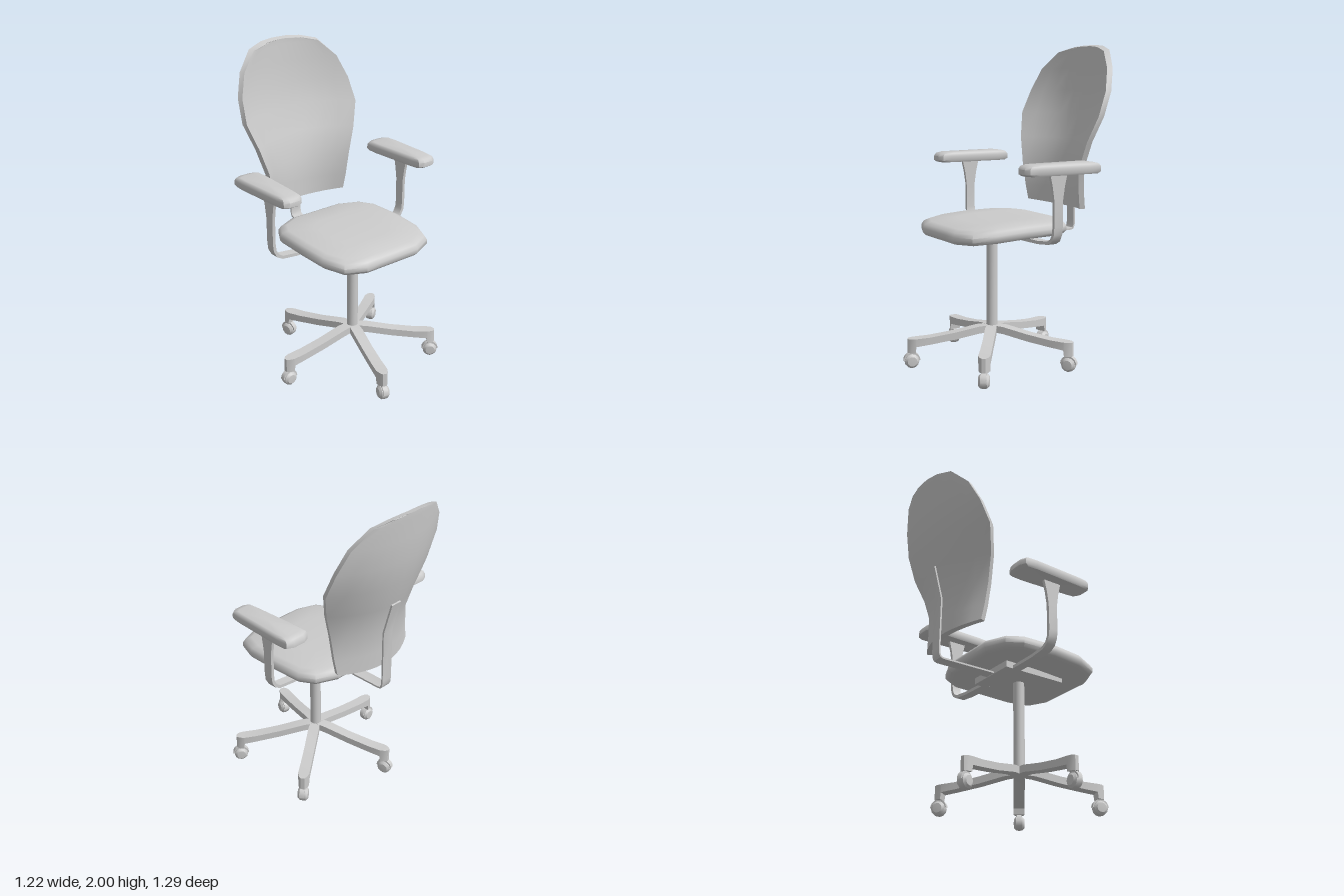
import * as THREE from 'three';
import { toCreasedNormals } from 'three/addons/utils/BufferGeometryUtils.js';

const material = new THREE.MeshStandardMaterial({ color: 0xcccccc });
const V = (x, y, z) => new THREE.Vector3(x, y, z);

function part(name, geometry, parent, crease = 0.65) {
  const mesh = new THREE.Mesh(toCreasedNormals(geometry, crease), material);
  mesh.name = name;
  parent.add(mesh);
  return mesh;
}

// Skin a stack of equal-length rings and close both ends
function loft(rings) {
  const n = rings[0].length, pos = [], idx = [];
  rings.forEach(r => r.forEach(p => pos.push(p.x, p.y, p.z)));
  for (let i = 0; i < rings.length - 1; i++) {
    for (let j = 0; j < n; j++) {
      const a = i * n + j, b = i * n + (j + 1) % n;
      idx.push(a, b, b + n, a, b + n, a + n);
    }
  }
  for (const last of [false, true]) {
    const ring = last ? rings[rings.length - 1] : rings[0];
    const c = ring.reduce((s, p) => s.add(p), V(0, 0, 0)).divideScalar(n);
    const ci = pos.length / 3, base = last ? (rings.length - 1) * n : 0;
    pos.push(c.x, c.y, c.z);
    for (let j = 0; j < n; j++) {
      const a = base + j, b = base + (j + 1) % n;
      last ? idx.push(ci, a, b) : idx.push(ci, b, a);
    }
  }
  const g = new THREE.BufferGeometry();
  g.setAttribute('position', new THREE.Float32BufferAttribute(pos, 3));
  g.setIndex(idx);
  return g;
}

// Flat bar along a path; widths are half-widths along the given axis
function strap(points, widths, axis, thickness) {
  return loft(points.map((p, i) => {
    const before = points[Math.max(i - 1, 0)], after = points[Math.min(i + 1, points.length - 1)];
    const normal = after.clone().sub(before).normalize().cross(axis);
    return [[1, 1], [-1, 1], [-1, -1], [1, -1]].map(([u, v]) => p.clone()
      .addScaledVector(axis, u * widths[i]).addScaledVector(normal, v * thickness / 2));
  }));
}

// Cushion from a mirrored half outline [x, z] and layers [scale, y]
function cushion(half, layers, cx, cz, drop = () => 0) {
  const outline = [...half, ...half.map(([x, z]) => [-x, z]).reverse()];
  return loft(layers.map(([s, y]) => outline.map(([x, z]) => {
    const zz = cz + (z - cz) * s;
    return V(cx + x * s, y - drop(zz), zz);
  })));
}

function makeBackrest() {
  // Rows: height, half-width, centre z of the rear face, curvature
  const rows = [
    [0.97, 0.305, -0.475, 1.0], [1.08, 0.315, -0.48, 1.15], [1.23, 0.33, -0.487, 1.25],
    [1.40, 0.385, -0.54, 1.15], [1.56, 0.44, -0.587, 0.88], [1.71, 0.425, -0.617, 0.76],
    [1.85, 0.37, -0.63, 0.72], [1.965, 0.26, -0.638, 0.72], [1.992, 0.15, -0.64, 0.72],
    [2.0, 0.06, -0.64, 0.72],
  ];
  const g = new THREE.BoxGeometry(2, 1, 1, 10, rows.length - 1, 1);
  const p = g.attributes.position;
  for (let i = 0; i < p.count; i++) {
    const row = Math.round((p.getY(i) + 0.5) * (rows.length - 1));
    const [y, w, zc, k] = rows[row];
    const t = p.getX(i), front = p.getZ(i) > 0;
    const x = t * (front ? w - 0.012 : w);
    const lift = row === 0 ? 0.015 * t * t : 0;
    const trim = front && row > 6 ? 0.008 : 0;
    p.setXYZ(i, x, y + lift - trim, zc + k * x * x + (front ? 0.04 : 0));
  }
  return g;
}

function makeLeg() {
  // Stations: distance from hub, top, bottom, half-width
  const st = [
    [0, 0.25, 0.205, 0.03], [0.09, 0.245, 0.2, 0.035], [0.25, 0.215, 0.17, 0.034],
    [0.4, 0.195, 0.15, 0.035], [0.488, 0.19, 0.14, 0.036], [0.493, 0.19, 0.1, 0.035],
    [0.52, 0.19, 0.1, 0.027], [0.538, 0.188, 0.1, 0.012],
  ];
  const g = new THREE.BoxGeometry(1, 1, 2, st.length - 1, 1, 1);
  const p = g.attributes.position;
  for (let i = 0; i < p.count; i++) {
    const [r, top, bottom, w] = st[Math.round((p.getX(i) + 0.5) * (st.length - 1))];
    p.setXYZ(i, r, p.getY(i) > 0 ? top : bottom, p.getZ(i) * w);
  }
  return g;
}

export function createModel() {
  const chair = new THREE.Group();
  chair.name = 'officeChair';

  // Five-legged base with casters
  const base = new THREE.Group();
  base.name = 'base';
  base.position.z = 0.11;
  chair.add(base);
  const wheelProfile = [[0, -0.035], [0.03, -0.033], [0.044, -0.02], [0.047, 0],
    [0.044, 0.02], [0.03, 0.033], [0, 0.035]].map(([x, y]) => new THREE.Vector2(x, y));
  for (let i = 0; i < 5; i++) {
    const leg = new THREE.Group();
    leg.name = 'legAssembly';
    leg.rotation.y = Math.PI + i * Math.PI * 2 / 5;
    base.add(leg);
    part('leg', makeLeg(), leg);
    part('casterWheel', new THREE.LatheGeometry(wheelProfile, 12).rotateX(Math.PI / 2), leg)
      .position.set(0.513, 0.047, 0);
    part('casterHood', new THREE.CylinderGeometry(0.052, 0.052, 0.03, 10, 1, false, Math.PI / 2, Math.PI)
      .rotateX(Math.PI / 2), leg).position.set(0.513, 0.05, 0);
  }
  part('column', new THREE.CylinderGeometry(0.035, 0.035, 0.6, 16), base).position.y = 0.51;

  // Seat and its mounting plate
  part('seatPlate', new THREE.BoxGeometry(0.34, 0.045, 0.425), chair).position.set(0, 0.825, 0.107);
  const seatHalf = [[0.1, 0.49], [0.2, 0.49], [0.33, 0.435], [0.385, 0.3], [0.395, 0.1],
    [0.385, -0.13], [0.33, -0.225], [0.195, -0.285], [0.1, -0.285]];
  const seatLayers = [[0.9, 0.847], [0.96, 0.85], [1, 0.87], [1, 0.895], [0.965, 0.918],
    [0.88, 0.932], [0.5, 0.936]];
  part('seat', cushion(seatHalf, seatLayers, 0, 0.1,
    z => 0.028 * Math.pow(Math.max(0, (z - 0.05) / 0.44), 1.5)), chair, 0.8);

  // Backrest and the bent bar that carries it
  part('backrest', makeBackrest(), chair);
  const spine = [[0.812, -0.08], [0.812, -0.465], [0.817, -0.483], [0.835, -0.492],
    [0.87, -0.495], [1.2, -0.491], [1.41, -0.547]].map(([y, z]) => V(0, y, z));
  part('backSupport', strap(spine, spine.map(() => 0.038), V(1, 0, 0), 0.011), chair);

  // Armrests
  const padHalf = [[0.033, 0.225], [0.063, 0.205], [0.07, 0.15], [0.086, -0.2],
    [0.082, -0.275], [0.04, -0.295]];
  const padLayers = [[0.92, 1.24], [1, 1.252], [1, 1.28], [0.95, 1.297], [0.82, 1.305]];
  for (const s of [1, -1]) {
    const arm = new THREE.Group();
    arm.name = s > 0 ? 'leftArm' : 'rightArm';
    chair.add(arm);
    part('armPad', cushion(padHalf, padLayers, s * 0.522, -0.03), arm, 0.8);
    const path = [[0.14, 0.812], [0.35, 0.816], [0.46, 0.828], [0.495, 0.848],
      [0.515, 0.885], [0.52, 0.93], [0.52, 1.09], [0.52, 1.17], [0.52, 1.25]];
    const widths = [0.03, 0.03, 0.03, 0.03, 0.03, 0.03, 0.031, 0.043, 0.062];
    part('armSupport', strap(path.map(([x, y]) => V(s * x, y, -0.027)), widths, V(0, 0, 1), 0.02), arm);
  }
  return chair;
}
